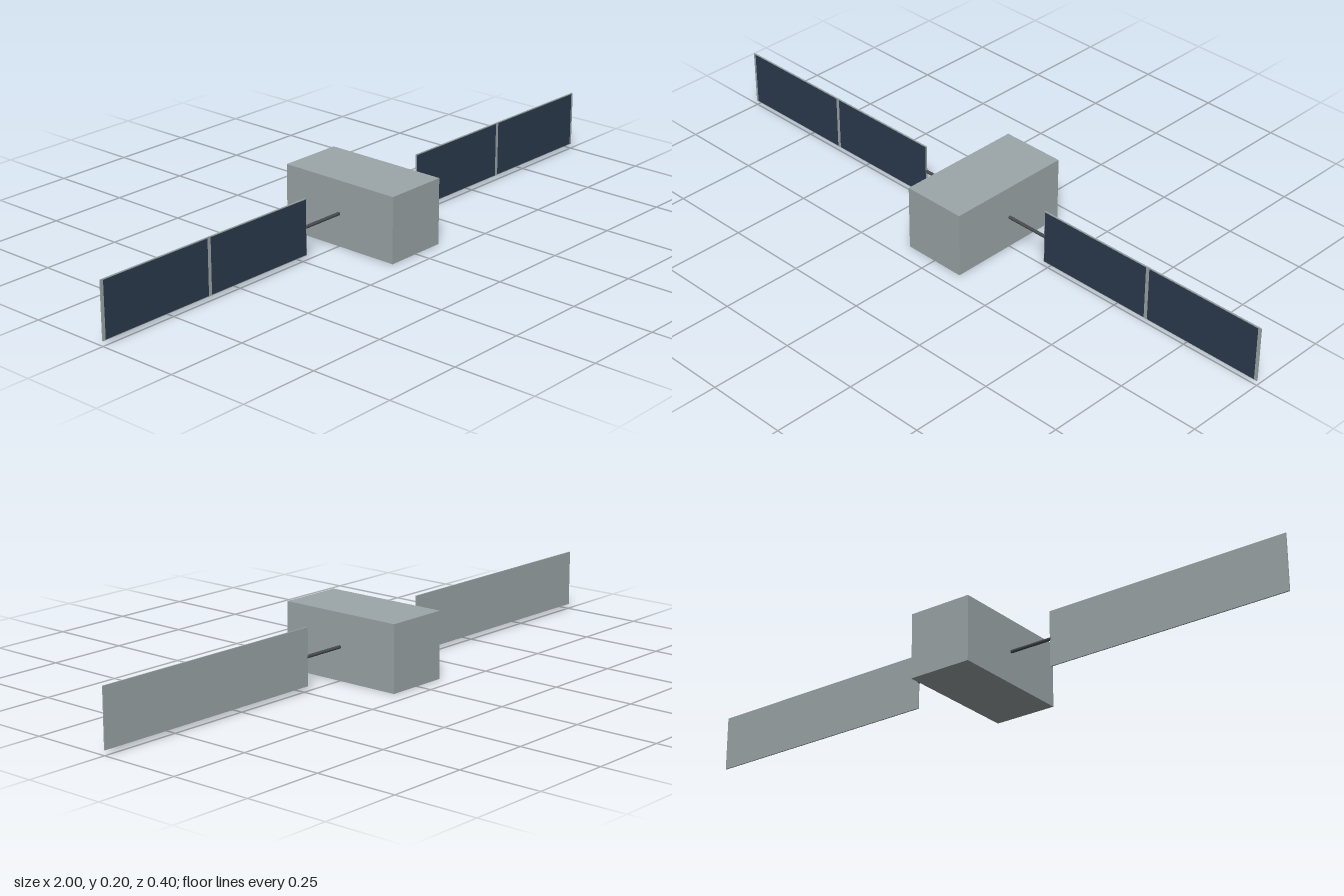
import * as THREE from 'three';

export function createModel() {
  const model = new THREE.Group();
  model.name = 'satellite';

  const material = (name, color) => {
    const m = new THREE.MeshStandardMaterial({ color });
    m.name = name;
    return m;
  };
  const hullGrey = material('hull grey', 0x9ca6a8);
  const cellBlue = material('cell blue', 0x2c3a4e);
  const boomGrey = material('boom dark grey', 0x484b4e);

  const add = (parent, name, geometry, mat, x, y, z) => {
    const mesh = new THREE.Mesh(geometry, mat);
    mesh.name = name;
    mesh.position.set(x, y, z);
    parent.add(mesh);
    return mesh;
  };

  const midY = 0.1;

  // Central body
  add(model, 'body', new THREE.BoxGeometry(0.2, 0.2, 0.4), hullGrey, 0, midY, 0);

  // One solar wing on each side
  for (const [side, s] of [['left', 1], ['right', -1]]) {
    const wing = new THREE.Group();
    wing.name = side + 'Wing';
    model.add(wing);

    // Boom from the body to the panel's inner edge
    const boom = add(wing, 'boom', new THREE.CylinderGeometry(0.005, 0.005, 0.14, 12), boomGrey, s * 0.168, midY, 0);
    boom.rotation.z = Math.PI / 2;

    // Backing panel
    add(wing, 'panel', new THREE.BoxGeometry(0.764, 0.17, 0.004), hullGrey, s * 0.618, midY, -0.0005);

    // Two cell fields on the front face
    for (const x of [0.4235, 0.806]) {
      add(wing, 'solarCells', new THREE.BoxGeometry(0.37, 0.165, 0.001), cellBlue, s * x, midY, 0.002);
    }
  }

  return model;
}
